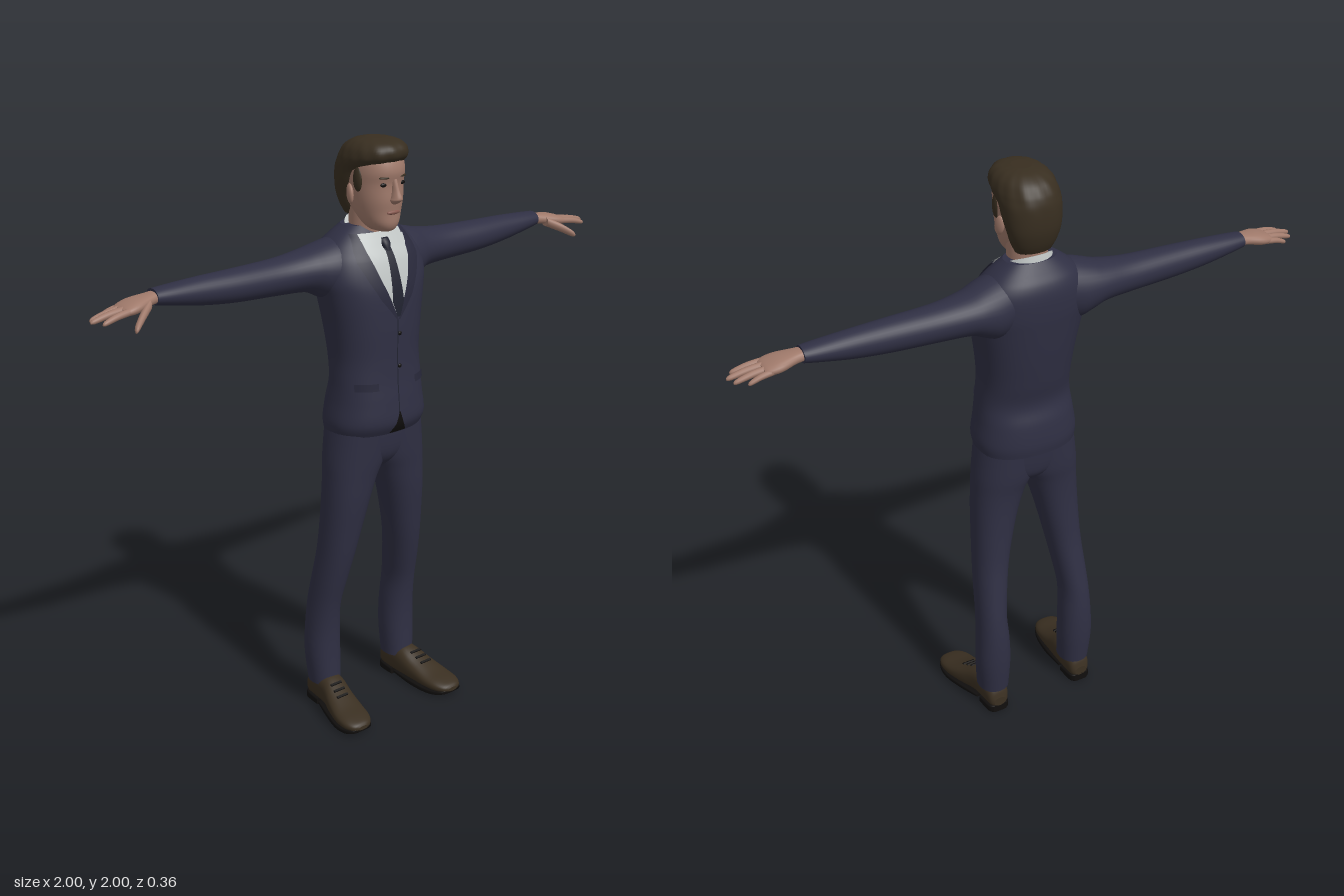
import * as THREE from 'three';

const mat = (name, color, side = THREE.FrontSide) => {
  const m = new THREE.MeshStandardMaterial({ color, side });
  m.name = name;
  return m;
};

// Smoothly resample key rows
function resample(keys, steps) {
  const rows = [], n = keys.length;
  const at = (i) => keys[Math.min(n - 1, Math.max(0, i))];
  for (let i = 0; i < n - 1; i++) {
    for (let s = 0; s < steps; s++) {
      const t = s / steps;
      rows.push(keys[0].map((_, k) => {
        const a = at(i - 1)[k], b = at(i)[k], c = at(i + 1)[k], d = at(i + 2)[k];
        return b + 0.5 * t * (c - a + t * (2 * a - 5 * b + 4 * c - d + t * (3 * (b - c) + d - a)));
      }));
    }
  }
  rows.push(keys[n - 1]);
  return rows;
}

// Superellipse loft; a key is [t, u0, u1, v0, v1].
// Axis y: u = z, v = x.  Axis x: u = y, v = z.  Axis z: u = x, v = y.
function loft(axis, keys, { power = 2, seg = 32, steps = 4 } = {}) {
  const rows = resample(keys, steps), pos = [], idx = [];
  const put = (t, u, v) => pos.push(...(axis === 'y' ? [v, t, u] : axis === 'x' ? [t, u, v] : [u, v, t]));
  const bend = (c) => Math.sign(c) * Math.abs(c) ** (2 / power);
  const ring = ([t, u0, u1, v0, v1]) => {
    for (let j = 0; j < seg; j++) {
      const a = (j / seg) * Math.PI * 2;
      put(t, (u0 + u1) / 2 + ((u1 - u0) / 2) * bend(Math.cos(a)), (v0 + v1) / 2 + ((v1 - v0) / 2) * bend(Math.sin(a)));
    }
  };
  rows.forEach(ring);
  for (let i = 0; i < rows.length - 1; i++) {
    for (let j = 0; j < seg; j++) {
      const a = i * seg + j, b = i * seg + ((j + 1) % seg);
      idx.push(a, b, b + seg, a, b + seg, a + seg);
    }
  }
  for (const end of [0, rows.length - 1]) {
    const r = rows[end], base = pos.length / 3;
    ring(r);
    put(r[0], (r[1] + r[2]) / 2, (r[3] + r[4]) / 2);
    for (let j = 0; j < seg; j++) {
      const a = base + j, b = base + ((j + 1) % seg);
      idx.push(base + seg, ...(end ? [a, b] : [b, a]));
    }
  }
  const g = new THREE.BufferGeometry();
  g.setAttribute('position', new THREE.Float32BufferAttribute(pos, 3));
  g.setIndex(idx);
  g.computeVertexNormals();
  return g;
}

// Upright loft symmetric in x; a key is [y, zBack, zFront, halfWidth]
const sym = (keys) => keys.map(([y, b, f, w]) => [y, b, f, -w, w]);

function mirrored(geo) {
  const g = geo.clone().applyMatrix4(new THREE.Matrix4().makeScale(-1, 1, 1));
  const ix = g.index.array;
  for (let i = 0; i < ix.length; i += 3) [ix[i], ix[i + 1]] = [ix[i + 1], ix[i]];
  return g;
}

const ellipsoid = (x, y, z, a, b, c) => new THREE.SphereGeometry(1, 20, 14).scale(a, b, c).translate(x, y, z);

const TORSO = sym([
  [1.04, -0.148, 0.1, 0.172], [1.08, -0.152, 0.118, 0.178], [1.15, -0.145, 0.115, 0.168],
  [1.22, -0.128, 0.108, 0.16], [1.3, -0.142, 0.105, 0.156], [1.4, -0.158, 0.105, 0.167],
  [1.5, -0.17, 0.1, 0.186], [1.56, -0.175, 0.088, 0.198], [1.62, -0.174, 0.067, 0.188],
  [1.66, -0.163, 0.042, 0.163], [1.69, -0.142, 0.022, 0.13], [1.72, -0.118, 0, 0.088],
]);
const TORSO_POWER = 2.3;
const torsoRows = resample(TORSO, 6);

// Height of the jacket's front surface
function chestZ(x, y) {
  let i = 0;
  while (i < torsoRows.length - 2 && torsoRows[i + 1][0] < y) i++;
  const a = torsoRows[i], b = torsoRows[i + 1], t = (y - a[0]) / (b[0] - a[0]);
  const [, back, front, , w] = a.map((v, k) => v + (b[k] - v) * t);
  const q = Math.min(0.97, Math.abs(x) / w);
  return (back + front) / 2 + ((front - back) / 2) * (1 - q ** TORSO_POWER) ** (1 / TORSO_POWER);
}

// Thin cloth lying on the chest; a row is [y, xFrom, xTo], listed upward
function patch(rows, lift, cols = 8) {
  const pos = [], idx = [], fine = [];
  for (let i = 0; i < rows.length - 1; i++) {
    for (let s = 0; s < 6; s++) fine.push(rows[i].map((v, k) => v + ((rows[i + 1][k] - v) * s) / 6));
  }
  fine.push(rows[rows.length - 1]);
  fine.forEach(([y, x0, x1], i) => {
    for (let j = 0; j <= cols; j++) {
      const x = x0 + ((x1 - x0) * j) / cols;
      pos.push(x, y, chestZ(x, y) + lift);
      if (i && j) {
        const d = i * (cols + 1) + j, b = d - cols - 1;
        idx.push(b - 1, b, d, b - 1, d, d - 1);
      }
    }
  });
  const g = new THREE.BufferGeometry();
  g.setAttribute('position', new THREE.Float32BufferAttribute(pos, 3));
  g.setIndex(idx);
  g.computeVertexNormals();
  return g;
}

export function createModel() {
  const root = new THREE.Group();
  root.name = 'manInSuit';
  const suit = mat('suitNavy', 0x2f2f43);
  const trim = mat('lapelNavy', 0x28283a, THREE.DoubleSide);
  const tie = mat('tieDark', 0x20222f, THREE.DoubleSide);
  const shirt = mat('shirtWhite', 0xbfc4c3, THREE.DoubleSide);
  const skin = mat('skin', 0xa07a6b);
  const lip = mat('lips', 0x87594f);
  const hair = mat('hairBrown', 0x382e20);
  const leather = mat('shoeBrown', 0x3a2f21);
  const black = mat('black', 0x100e0d);

  const add = (name, geo, m) => {
    const mesh = new THREE.Mesh(geo, m);
    mesh.name = name;
    root.add(mesh);
  };
  const pair = (name, geo, m) => {
    add(name + 'Left', geo, m);
    add(name + 'Right', mirrored(geo), m);
  };

  // Jacket and sleeves
  add('jacket', loft('y', TORSO, { power: TORSO_POWER, seg: 56, steps: 6 }), suit);
  pair('sleeve', loft('x', [
    [0.08, 1.5, 1.692, -0.155, 0.02], [0.14, 1.48, 1.683, -0.165, 0.032], [0.19, 1.5, 1.67, -0.166, 0.018],
    [0.24, 1.522, 1.657, -0.162, -0.002], [0.34, 1.528, 1.645, -0.15, -0.02], [0.5, 1.535, 1.64, -0.14, -0.03],
    [0.62, 1.548, 1.637, -0.135, -0.04], [0.72, 1.566, 1.632, -0.13, -0.048], [0.778, 1.578, 1.628, -0.125, -0.055],
  ], { seg: 36 }), suit);
  pair('lapel', patch([
    [1.43, 0, 0.006], [1.5, 0.028, 0.062], [1.56, 0.053, 0.096], [1.62, 0.073, 0.122], [1.65, 0.08, 0.12], [1.7, 0.084, 0.105],
  ], 0.008), trim);
  pair('pocketFlap', patch([[1.2, 0.075, 0.142], [1.225, 0.075, 0.142]], 0.006), trim);
  add('jacketOpening', patch([[1.1, -0.003, 0.001], [1.43, -0.002, 0.002]], 0.003, 2), tie);
  add('hemNotch', patch([[1.045, -0.034, 0.034], [1.08, -0.014, 0.014], [1.12, -0.001, 0.001]], 0.004), black);
  for (const y of [1.27, 1.38]) add('jacketButton', ellipsoid(0.01, y, chestZ(0, y) + 0.001, 0.007, 0.007, 0.004), black);

  // Shirt, collar and tie
  add('shirtFront', patch([
    [1.44, -0.003, 0.003], [1.5, -0.03, 0.03], [1.56, -0.055, 0.055], [1.62, -0.076, 0.076], [1.7, -0.087, 0.087],
  ], 0.005, 14), shirt);
  const collar = loft('y', sym([[1.65, -0.122, 0.045, 0.093], [1.68, -0.118, 0.036, 0.088], [1.708, -0.112, 0.028, 0.08]]));
  const cp = collar.attributes.position;
  for (let i = 0; i < cp.count; i++) cp.setY(i, cp.getY(i) - (cp.getZ(i) + 0.04) * 0.45);
  collar.computeVertexNormals();
  add('shirtCollar', collar, shirt);
  pair('collarWing', patch([[1.625, 0.05, 0.055], [1.66, 0.022, 0.08], [1.685, 0.012, 0.086]], 0.012), shirt);
  add('tieBlade', patch([[1.44, -0.006, 0.006], [1.49, -0.023, 0.023], [1.655, -0.012, 0.012]], 0.01), tie);
  add('tieKnot', loft('y', sym([[1.645, 0.03, 0.066, 0.011], [1.668, 0.015, 0.058, 0.019], [1.682, 0.01, 0.046, 0.018]]), { seg: 16 }), tie);

  // Trousers
  add('hips', loft('y', sym([
    [0.9, -0.07, 0.03, 0.02], [0.935, -0.108, 0.062, 0.1], [0.98, -0.122, 0.077, 0.165], [1.07, -0.13, 0.085, 0.165],
  ]), { power: 2.3 }), suit);
  pair('trouserLeg', loft('y', [
    [0.09, -0.15, -0.03, 0.112, 0.218], [0.2, -0.16, -0.035, 0.107, 0.226], [0.3, -0.16, -0.033, 0.11, 0.222],
    [0.4, -0.15, -0.02, 0.115, 0.216], [0.5, -0.132, 0.005, 0.102, 0.21], [0.6, -0.115, 0.028, 0.084, 0.203],
    [0.7, -0.108, 0.045, 0.062, 0.198], [0.8, -0.106, 0.06, 0.036, 0.194], [0.88, -0.11, 0.068, 0.008, 0.19],
    [0.95, -0.12, 0.076, -0.025, 0.186], [1.07, -0.125, 0.085, -0.03, 0.17],
  ], { power: 2.2, seg: 36 }), suit);

  // Shoes
  pair('shoe', loft('z', [
    [-0.152, 0.145, 0.19, 0.025, 0.06], [-0.138, 0.13, 0.205, 0.015, 0.1], [-0.09, 0.124, 0.212, 0.012, 0.125],
    [-0.03, 0.124, 0.22, 0.012, 0.122], [0.03, 0.13, 0.24, 0.01, 0.092], [0.09, 0.136, 0.255, 0.01, 0.068],
    [0.14, 0.146, 0.256, 0.012, 0.056], [0.17, 0.165, 0.242, 0.016, 0.046], [0.18, 0.185, 0.222, 0.022, 0.036],
  ], { power: 2.4 }), leather);
  pair('shoeSole', loft('z', [
    [-0.06, 0.128, 0.216, 0.012, 0.024], [0.02, 0.128, 0.24, 0.002, 0.022], [0.09, 0.134, 0.257, 0, 0.02],
    [0.14, 0.145, 0.257, 0.004, 0.022], [0.17, 0.163, 0.244, 0.012, 0.027], [0.178, 0.185, 0.224, 0.016, 0.029],
  ], { power: 5 }), black);
  pair('shoeHeel', loft('z', [[-0.152, 0.142, 0.194, 0, 0.03], [-0.135, 0.128, 0.208, 0, 0.03], [-0.075, 0.126, 0.212, 0, 0.026]], { power: 6 }), black);
  for (let i = 0; i < 3; i++) {
    pair('shoeLace', new THREE.BoxGeometry(0.045, 0.005, 0.008).rotateX(0.45).translate(0.182 + i * 0.004, 0.111 - i * 0.012, 0 + i * 0.023), black);
  }

  // Hands: palm, four fingers, thumb
  pair('palm', loft('x', [
    [0.76, 1.585, 1.622, -0.115, -0.065], [0.8, 1.582, 1.618, -0.118, -0.052], [0.85, 1.572, 1.612, -0.13, -0.034],
    [0.885, 1.571, 1.602, -0.125, -0.032], [0.898, 1.577, 1.595, -0.115, -0.042],
  ], { power: 2.4, seg: 20 }), skin);
  const digit = (name, [x0, y0, z0], [x1, y1, z1], r, arch) => {
    const keys = [[0, 1], [0.5, 0.92], [0.9, 0.7], [1, 0.25]].map(([t, k]) => {
      const y = y0 + (y1 - y0) * t + arch * t * (1 - t) * 4, z = z0 + (z1 - z0) * t;
      return [x0 + (x1 - x0) * t, y - r * k, y + r * k, z - r * k, z + r * k];
    });
    pair(name, loft('x', keys, { seg: 12 }), skin);
  };
  digit('littleFinger', [0.87, 1.586, -0.116], [0.952, 1.564, -0.116], 0.0105, 0.004);
  digit('ringFinger', [0.87, 1.588, -0.094], [0.988, 1.567, -0.094], 0.0115, 0.004);
  digit('middleFinger', [0.87, 1.589, -0.07], [1.0, 1.57, -0.067], 0.012, 0.004);
  digit('indexFinger', [0.87, 1.588, -0.046], [0.978, 1.568, -0.034], 0.0115, 0.004);
  digit('thumb', [0.81, 1.592, -0.056], [0.897, 1.542, 0.008], 0.0165, 0.003);

  // Neck and head
  add('neck', loft('y', sym([[1.62, -0.112, 0.02, 0.07], [1.7, -0.103, 0.018, 0.066], [1.79, -0.105, 0.03, 0.066]])), skin);
  add('head', loft('y', sym([
    [1.706, -0.02, 0.058, 0.02], [1.714, -0.05, 0.074, 0.038], [1.735, -0.075, 0.084, 0.056], [1.77, -0.095, 0.085, 0.07],
    [1.81, -0.115, 0.09, 0.079], [1.86, -0.13, 0.089, 0.085], [1.9, -0.13, 0.096, 0.086], [1.94, -0.12, 0.085, 0.08], [1.97, -0.09, 0.06, 0.06],
  ]), { power: 2.15, seg: 40 }), skin);
  add('nose', loft('y', sym([
    [1.8, 0.07, 0.097, 0.01], [1.812, 0.07, 0.117, 0.018], [1.822, 0.07, 0.121, 0.015], [1.845, 0.07, 0.109, 0.01], [1.878, 0.07, 0.096, 0.009],
  ]), { seg: 16 }), skin);
  add('mouth', ellipsoid(0, 1.772, 0.083, 0.026, 0.007, 0.007), lip);
  pair('ear', ellipsoid(0, 0, 0, 0.01, 0.032, 0.019).rotateX(-0.2).rotateY(0.3).translate(0.087, 1.825, -0.025), skin);
  pair('eye', ellipsoid(0.035, 1.862, 0.079, 0.014, 0.007, 0.006), black);
  pair('eyebrow', ellipsoid(0, 0, 0, 0.019, 0.004, 0.006).rotateY(0.3).translate(0.036, 1.884, 0.083), hair);

  // Hair: low at the nape, sweeping forward above the brow
  const locks = loft('y', sym([
    [1.75, -0.116, -0.04, 0.06], [1.78, -0.131, -0.03, 0.075], [1.82, -0.143, -0.02, 0.087], [1.86, -0.147, 0.004, 0.094],
    [1.9, -0.146, 0.03, 0.097], [1.925, -0.141, 0.078, 0.098], [1.945, -0.132, 0.102, 0.096], [1.97, -0.112, 0.102, 0.086],
    [1.989, -0.078, 0.078, 0.064], [1.997, -0.04, 0.03, 0.03],
  ]), { power: 2.2, seg: 64 });
  const hp = locks.attributes.position;
  for (let i = 0; i < hp.count; i++) {
    const x = hp.getX(i), y = hp.getY(i), z = hp.getZ(i);
    const k = 1 + 0.014 * Math.sin(Math.atan2(x, z + 0.02) * 14 + y * 40) * Math.min(1, Math.max(0, (y - 1.88) * 15));
    hp.setXYZ(i, x * k, y, (z + 0.02) * k - 0.02);
  }
  locks.computeVertexNormals();
  add('hair', locks, hair);
  pair('sideburn', ellipsoid(0.08, 1.875, 0.006, 0.011, 0.04, 0.02), hair);

  return root;
}
